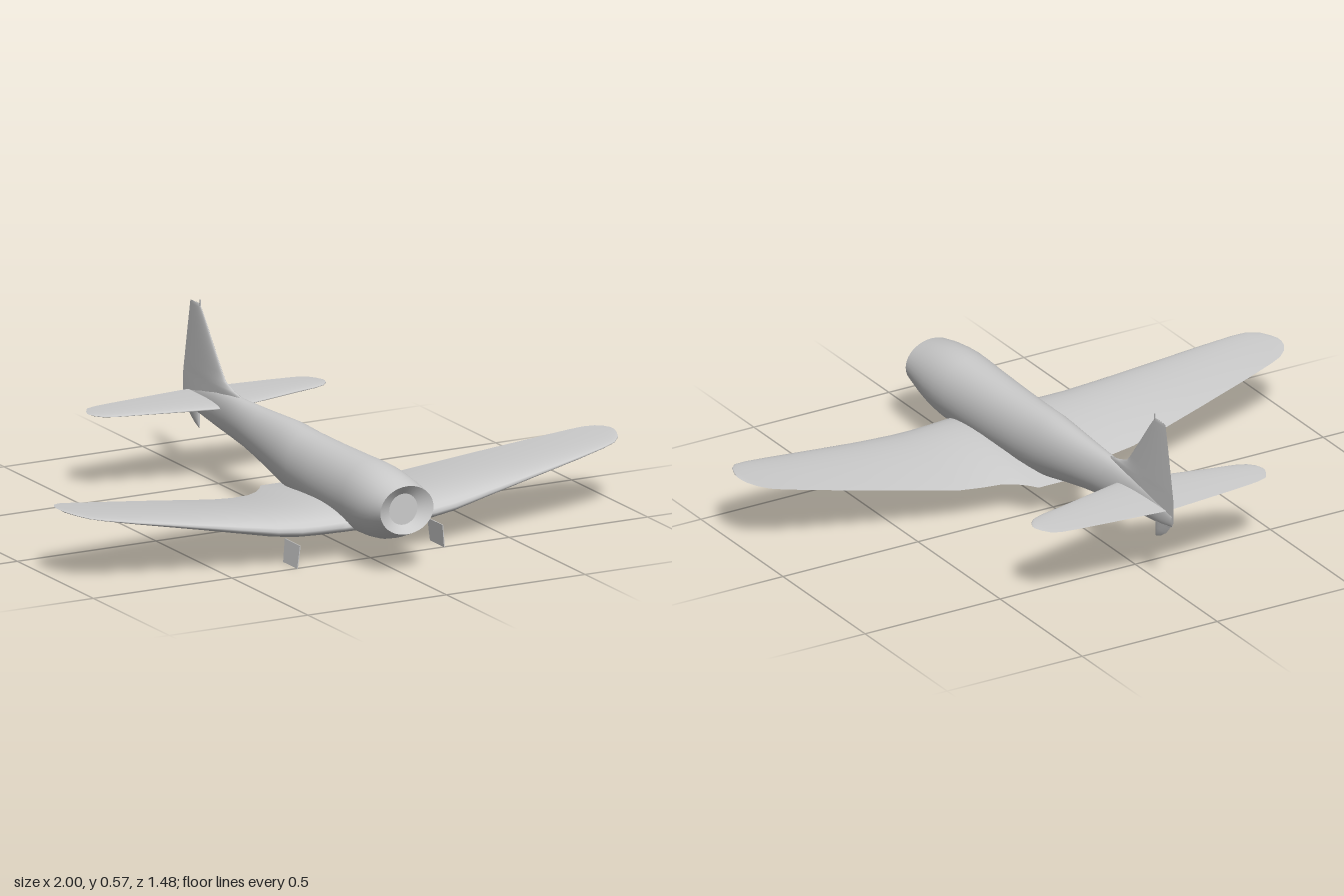
import * as THREE from 'three';

const grey = new THREE.MeshStandardMaterial({ color: 0xcccccc, side: THREE.DoubleSide });
grey.name = 'bare grey';

// Skin a surface through rings of points; wrap joins each ring's end to its start
function loft(rings, wrap) {
  const n = rings[0].length, pos = rings.flat(2), index = [];
  for (let i = 0; i < rings.length - 1; i++) {
    for (let j = 0; j < (wrap ? n : n - 1); j++) {
      const k = (j + 1) % n;
      const a = i * n + j, b = i * n + k, c = a + n, d = b + n;
      index.push(a, b, c, b, d, c);
    }
  }
  const g = new THREE.BufferGeometry();
  g.setAttribute('position', new THREE.Float32BufferAttribute(pos, 3));
  g.setIndex(index);
  g.computeVertexNormals();
  return g;
}

// Aerofoil outline from trailing edge over the top, round the nose and back underneath
function aerofoil(zBack, zFront, up, down, place) {
  const ring = [], N = 14;
  for (let i = 0; i <= 2 * N; i++) {
    const s = (1 + Math.cos(Math.PI * i / N)) / 2;
    const t = 10 * (0.2969 * Math.sqrt(s) - 0.126 * s - 0.3516 * s ** 2 + 0.2843 * s ** 3 - 0.1036 * s ** 4);
    ring.push(place(zFront + (zBack - zFront) * s, t * (i <= N ? up : -down)));
  }
  return ring;
}

// Both halves of a wing from right-to-tip stations: span, back z, front z, y, up, down
function wingGeometry(stations) {
  const left = stations.map(s => [...s]);
  const right = stations.filter(s => s[0] > 0).map(s => [-s[0], ...s.slice(1)]).reverse();
  return loft([...right, ...left].map(([x, zb, zf, y, up, down]) =>
    aerofoil(zb, zf, up, down, (z, t) => [x, y + t, z])), false);
}

function ellipseRing(z, halfWidth, top, bottom, n = 40) {
  return Array.from({ length: n }, (_, j) => {
    const a = j / n * Math.PI * 2;
    return [halfWidth * Math.cos(a), (top + bottom) / 2 + (top - bottom) / 2 * Math.sin(a), z];
  });
}

export function createModel() {
  const model = new THREE.Group();
  const add = (name, geometry) => {
    const mesh = new THREE.Mesh(geometry, grey);
    mesh.name = name;
    model.add(mesh);
    return mesh;
  };

  // Fuselage: z, half width, top, bottom
  const body = [
    [-0.725, 0.003, 0.255, 0.22], [-0.66, 0.009, 0.275, 0.205], [-0.6, 0.014, 0.29, 0.198],
    [-0.5, 0.024, 0.307, 0.186], [-0.4, 0.035, 0.316, 0.176], [-0.3, 0.046, 0.317, 0.166],
    [-0.2, 0.057, 0.319, 0.15], [-0.1, 0.067, 0.323, 0.13], [0, 0.077, 0.327, 0.108],
    [0.1, 0.085, 0.322, 0.095], [0.25, 0.093, 0.321, 0.085], [0.4, 0.1, 0.323, 0.08],
    [0.5, 0.105, 0.325, 0.081], [0.56, 0.108, 0.324, 0.084], [0.62, 0.107, 0.318, 0.092],
    [0.68, 0.103, 0.308, 0.11], [0.74, 0.096, 0.293, 0.135],
  ].map(s => ellipseRing(...s));
  add('fuselage', loft(body, true));

  // Cowl mouth: inward-sloping ring and a round centre plate
  add('cowlMouth', loft([ellipseRing(0.74, 0.096, 0.293, 0.135), ellipseRing(0.715, 0.05, 0.262, 0.162)], true));
  add('cowlPlate', new THREE.CircleGeometry(0.051, 40)).position.set(0, 0.212, 0.716);

  // Main wing with flat centre, raised outer panels and a trailing fillet at the root
  add('wing', wingGeometry([
    [0, -0.06, 0.51, 0.113, 0.047, 0.037], [0.09, -0.06, 0.508, 0.113, 0.047, 0.037],
    [0.11, -0.03, 0.506, 0.113, 0.046, 0.036], [0.14, 0.0, 0.503, 0.113, 0.044, 0.036],
    [0.18, 0.022, 0.5, 0.113, 0.042, 0.035], [0.24, 0.03, 0.494, 0.114, 0.041, 0.034],
    [0.32, 0.037, 0.484, 0.121, 0.038, 0.031], [0.45, 0.06, 0.465, 0.142, 0.029, 0.025],
    [0.6, 0.09, 0.445, 0.167, 0.019, 0.019], [0.8, 0.133, 0.418, 0.2, 0.01, 0.011],
    [0.9, 0.157, 0.4, 0.217, 0.007, 0.007], [0.945, 0.172, 0.385, 0.225, 0.005, 0.005],
    [0.975, 0.197, 0.352, 0.231, 0.004, 0.004], [0.992, 0.225, 0.31, 0.234, 0.003, 0.003],
    [1, 0.255, 0.28, 0.236, 0, 0],
  ]));

  // Tailplane
  add('tailplane', wingGeometry([
    [0, -0.695, -0.428, 0.264, 0.008, 0.008], [0.03, -0.693, -0.433, 0.264, 0.008, 0.008],
    [0.28, -0.668, -0.495, 0.264, 0.006, 0.006], [0.36, -0.657, -0.513, 0.264, 0.005, 0.005],
    [0.395, -0.645, -0.528, 0.264, 0.004, 0.004], [0.415, -0.615, -0.55, 0.264, 0.003, 0.003],
    [0.425, -0.59, -0.575, 0.264, 0, 0],
  ]));

  // Fin and rudder stations: y, back z, front z, half thickness
  const finGeometry = stations => loft(stations.map(([y, zb, zf, t]) =>
    aerofoil(zb, zf, t, t, (z, d) => [-d, y, z])), false);
  add('fin', finGeometry([
    [0.205, -0.7, -0.6, 0.005], [0.22, -0.725, -0.55, 0.007], [0.24, -0.735, -0.5, 0.009],
    [0.3, -0.735, -0.36, 0.011], [0.318, -0.732, -0.35, 0.011], [0.328, -0.73, -0.4, 0.01],
    [0.345, -0.727, -0.45, 0.009], [0.37, -0.722, -0.473, 0.008], [0.45, -0.707, -0.535, 0.006],
    [0.52, -0.693, -0.588, 0.004], [0.55, -0.687, -0.613, 0.003], [0.56, -0.685, -0.622, 0.002],
    [0.56, -0.685, -0.622, 0],
  ]));
  add('rudderFoot', finGeometry([
    [0.152, -0.63, -0.625, 0], [0.165, -0.66, -0.625, 0.004],
    [0.185, -0.69, -0.625, 0.006], [0.21, -0.712, -0.625, 0.007],
  ]));
  add('finTipPin', new THREE.CylinderGeometry(0.002, 0.002, 0.025, 6)).position.set(0, 0.562, -0.62);

  // Thin undercarriage covers hanging below the wing
  for (const side of [1, -1]) {
    const cover = new THREE.BoxGeometry(0.003, 0.075, 0.1);
    const p = cover.attributes.position;
    for (let i = 0; i < p.count; i++) {
      if (p.getY(i) < 0) {
        p.setX(i, p.getX(i) + side * 0.008);
        p.setZ(i, p.getZ(i) * 0.92);
      }
    }
    cover.computeVertexNormals();
    add(side > 0 ? 'leftGearCover' : 'rightGearCover', cover).position.set(side * 0.257, 0.0375, 0.457);
  }
  return model;
}
